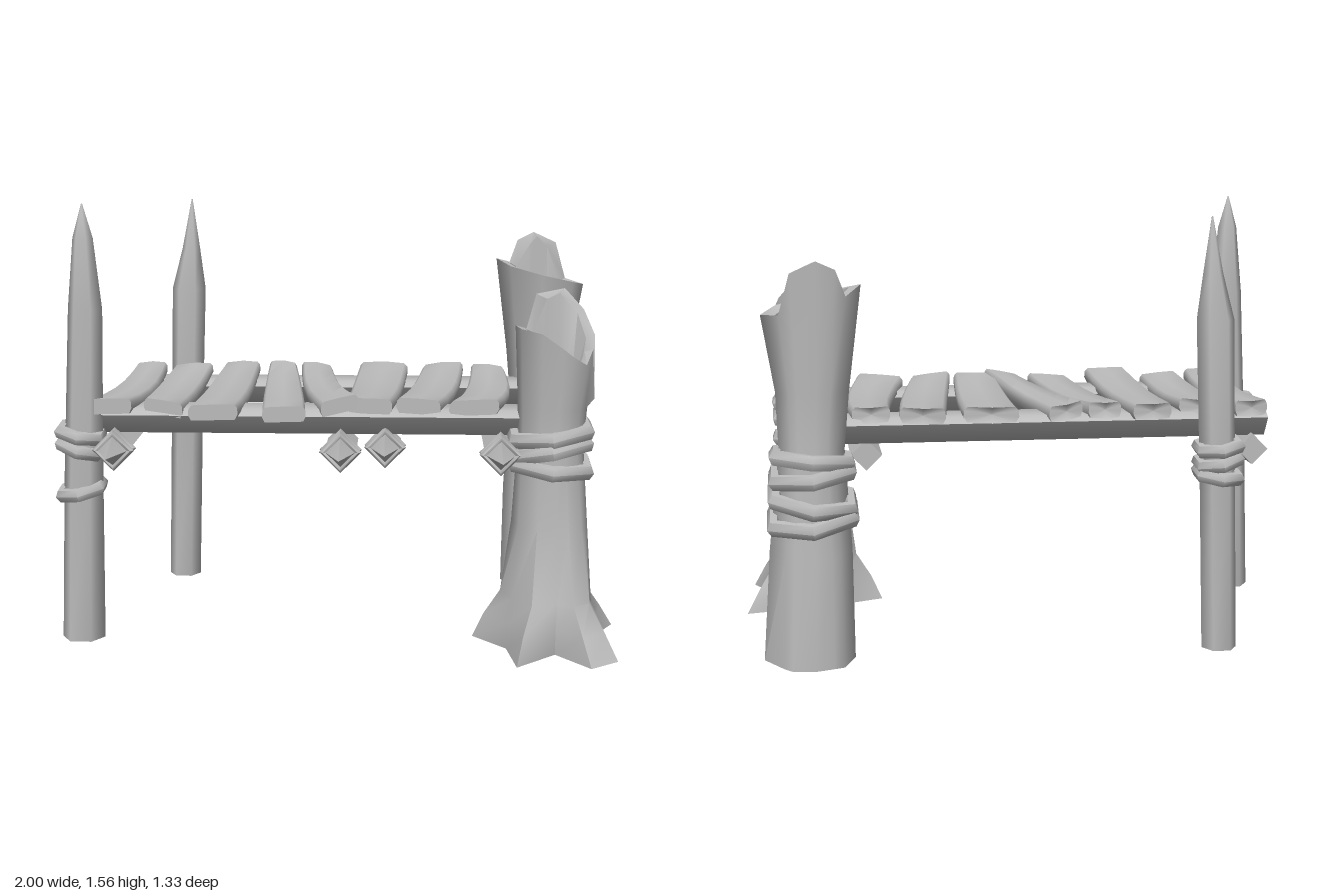
import * as THREE from 'three';
import { toCreasedNormals } from 'three/addons/utils/BufferGeometryUtils.js';

const wood = new THREE.MeshStandardMaterial({ color: 0xbcbcbc });
wood.name = 'weathered grey wood';

const rad = THREE.MathUtils.degToRad;
const lerp = THREE.MathUtils.lerp;

// Skin a list of equal-length point rings and cap both ends.
function loft(rings, crease) {
  const n = rings[0].length, pos = [], idx = [];
  rings.forEach(r => r.forEach(p => pos.push(...p)));
  for (let k = 0; k < rings.length - 1; k++) {
    for (let i = 0; i < n; i++) {
      const j = (i + 1) % n, a = k * n + i, b = k * n + j;
      idx.push(a, b, b + n, a, b + n, a + n);
    }
  }
  const cap = (k, flip) => {
    const c = pos.length / 3;
    pos.push(...[0, 1, 2].map(d => rings[k].reduce((s, p) => s + p[d], 0) / n));
    for (let i = 0; i < n; i++) {
      const a = k * n + i, b = k * n + (i + 1) % n;
      if (flip) idx.push(c, b, a); else idx.push(c, a, b);
    }
  };
  cap(0, true);
  cap(rings.length - 1, false);
  const g = new THREE.BufferGeometry();
  g.setAttribute('position', new THREE.Float32BufferAttribute(pos, 3));
  g.setIndex(idx);
  return toCreasedNormals(g, crease);
}

const range = (n, f) => Array.from({ length: n }, (_, i) => f(i));

export function createModel() {
  const model = new THREE.Group();
  model.name = 'plankDock';
  const add = (name, geometry) => {
    const m = new THREE.Mesh(geometry, wood);
    m.name = name;
    model.add(m);
    return m;
  };

  // Rope loops: coarse six-sided rings with corners to front and back, tilted around a post
  const rope = (name, x, y, z, r, tiltX, tiltZ, tube) => {
    const g = new THREE.TorusGeometry(r, tube, 6, 6).rotateX(Math.PI / 2).rotateY(Math.PI / 6);
    const m = add(name, toCreasedNormals(g, 1.06));
    m.position.set(x, y, z);
    m.rotation.set(tiltX, 0, tiltZ);
  };

  // Sharpened posts: rows of [y, x, z, radius]
  const post = (name, rows) => add(name, loft(rows.map(([y, x, z, r]) =>
    range(6, i => {
      const a = i * Math.PI / 3 + 0.5;
      return [x + r * Math.sin(a), y, z + r * Math.cos(a)];
    })), 1.2));
  post('frontSharpPost', [[0.01, -0.92, 0.36, 0.077], [0.6, -0.908, 0.355, 0.07],
    [1.2, -0.89, 0.35, 0.061], [1.45, -0.892, 0.352, 0.036], [1.57, -0.893, 0.35, 0.002]]);
  post('backSharpPost', [[0.01, -0.665, -0.52, 0.062], [0.6, -0.65, -0.52, 0.063],
    [1.18, -0.633, -0.52, 0.066], [1.34, -0.622, -0.52, 0.035], [1.535, -0.616, -0.52, 0.002]]);
  [[0.76, -0.2], [0.71, -0.3], [0.555, 0.2]].forEach(([y, t]) =>
    rope('frontPostRope', -0.915, y, 0.358, 0.076, 0.08, t, 0.025));
  [[0.735, -0.12], [0.685, -0.2], [0.635, 0.12]].forEach(([y, t]) =>
    rope('backPostRope', -0.65, y, -0.523, 0.074, -0.1, t, 0.025));

  // Hollow broken stumps; the tallest splinters are thicker.
  // rows: [y, x, z, radius, root share]; spokes: [angle, rim height, root radius]
  const stump = (name, rows, spokes, top, floorY) => {
    const at = (x, z, r, y, deg) => [x + r * Math.sin(rad(deg)), y, z + r * Math.cos(rad(deg))];
    const rings = rows.map(([y, x, z, r, k]) =>
      spokes.map(([deg, , root]) => at(x, z, lerp(r, root, k), y, deg)));
    const [x, z, r] = top;
    const tall = Math.max(...spokes.map(s => s[1])) - 0.05;
    const inner = h => (h > tall ? 0.45 : 0.77);
    rings.push(spokes.map(([d, h]) => at(x, z, r, h, d)));
    rings.push(spokes.map(([d, h]) => at(x, z, r * inner(h), h - 0.01, d)));
    rings.push(spokes.map(([d, h]) => at(x, z, r * Math.min(0.58, inner(h)), floorY, d)));
    add(name, loft(rings, 0.95));
  };
  stump('backStump',
    [[0.01, 0.77, -0.475, 0.155, 0.9], [0.4, 0.765, -0.48, 0.135, 0.3],
      [0.75, 0.76, -0.485, 0.112, 0], [0.95, 0.755, -0.48, 0.125, 0]],
    [[0, 1.26, 0.17], [45, 1.23, 0.155], [90, 1.21, 0.165], [140, 1.22, 0.15], [155, 1.36, 0.165],
      [185, 1.4, 0.16], [208, 1.37, 0.155], [222, 1.28, 0.165], [270, 1.31, 0.15], [315, 1.29, 0.165]],
    [0.755, -0.465, 0.17], 1.1);
  stump('frontStump',
    [[0.01, 0.745, 0.36, 0.165, 1], [0.1, 0.745, 0.36, 0.16, 0.62], [0.19, 0.75, 0.355, 0.15, 0.2],
      [0.45, 0.75, 0.355, 0.13, 0.06], [0.75, 0.745, 0.36, 0.115, 0], [0.87, 0.75, 0.362, 0.122, 0]],
    [[8, 1.09, 0.15], [24, 1.06, 0.33], [47, 1.03, 0.32], [64, 1.08, 0.18], [86, 0.9, 0.15],
      [98, 1.12, 0.15], [131, 1.2, 0.34], [163, 1.27, 0.18], [205, 1.25, 0.17], [222, 1.13, 0.17],
      [257, 1.15, 0.27], [300, 1.15, 0.17], [338, 1.14, 0.32]],
    [0.755, 0.372, 0.14], 0.9);
  [[0.72, 0.05, 0.1], [0.67, -0.06, -0.12], [0.58, -0.15, 0.14], [0.52, -0.17, -0.1]].forEach(([y, a, b], i) =>
    rope('backStumpRope', 0.76, y, -0.487, 0.14 + i * 0.004, a, b, 0.029));
  [[0.775, 0.04, 0.13], [0.715, -0.08, 0.2], [0.665, 0.08, -0.1]].forEach(([y, a, b]) =>
    rope('frontStumpRope', 0.745, y, 0.352, 0.144, a, b, 0.029));

  // Two long logs under the deck, flat on top and narrower below
  const logSection = [[0.845, 0.07], [0.825, 0.102], [0.755, 0.05], [0.755, -0.05], [0.825, -0.102], [0.845, -0.07]];
  [-0.375, 0.265].forEach(z =>
    add('longBeam', loft([-0.84, 0.69].map(x => logSection.map(([y, w]) => [x, y, z + w])), 1.2)));

  // Square cross poles with a sharpened, roped front end: [x, back z, tip z]
  [[-0.79, -0.46, 0.58], [0.01, 0.16, 0.58], [0.165, 0.16, 0.49], [0.57, -0.4, 0.61]].forEach(([x, back, tip]) => {
    const neck = tip - 0.16;
    const rows = [[back, 0.055], [neck, 0.055], [tip, 0.002]];
    add('crossPole', loft(rows.map(([z, r]) => range(4, i => {
      const a = i * Math.PI / 2;
      return [x + r * Math.cos(a), 0.71 + r * Math.sin(a), z];
    })), 0.3));
    [0, 0.045].forEach(d => {
      const g = new THREE.TorusGeometry(0.057, 0.018, 5, 4);
      add('poleRope', toCreasedNormals(g, 1.2)).position.set(x, 0.71, neck - d);
    });
  });

  // Sagging deck planks: [back x0, x1, z, front x0, x1, z, middle shift, back y, front y, roll]
  const planks = [
    [-0.84, -0.72, -0.47, -0.875, -0.73, 0.385, 0.015, 0.86, 0.86, 0],
    [-0.69, -0.53, -0.44, -0.69, -0.55, 0.355, -0.005, 0.86, 0.85, -0.1],
    [-0.49, -0.35, -0.5, -0.515, -0.345, 0.475, 0, 0.86, 0.857, 0],
    [-0.31, -0.2, -0.48, -0.265, -0.11, 0.42, 0.0, 0.865, 0.842, 0.05],
    [-0.18, -0.06, -0.47, -0.06, 0.07, 0.365, -0.015, 0.86, 0.865, 0.18],
    [0.05, 0.24, -0.505, 0.03, 0.19, 0.355, 0.0, 0.86, 0.862, 0],
    [0.3, 0.46, -0.5, 0.205, 0.36, 0.355, 0.01, 0.86, 0.862, -0.08],
    [0.49, 0.62, -0.455, 0.39, 0.565, 0.36, 0.025, 0.86, 0.86, 0.06]
  ];
  planks.forEach(([b0, b1, bz, f0, f1, fz, shift, by, fy, roll], k) => {
    const rings = range(6, s => {
      const t = s / 5, bulge = Math.sin(Math.PI * t);
      const x0 = lerp(b0, f0, t) + bulge * shift, x1 = lerp(b1, f1, t) + bulge * shift;
      const c = (x0 + x1) / 2, w = (x1 - x0) / 2 + bulge * 0.006;
      const y = lerp(by, fy, t) - bulge * 0.018, tilt = roll * (t * 2 - 0.8);
      const skew = s === 0 || s === 5 ? (k % 2 ? 0.012 : -0.012) : 0;
      // chamfered board section, with the back end cut to a shallow point
      const peak = s === 0 ? 0.03 : 0;
      return [[1, -0.3], [0.98, 0.55], [0.85, 1], [0, 1.05], [-0.85, 1], [-0.98, 0.55],
        [-1, -0.3], [-0.88, -1], [0, -1], [0.88, -1]]
        .map(([u, v]) => [c + u * w, y + v * 0.027 + u * w * tilt,
          lerp(bz, fz, t) + u * skew - (u === 0 ? peak : 0)]);
    });
    add('plank', loft(rings, 1.0));
  });

  return model;
}
